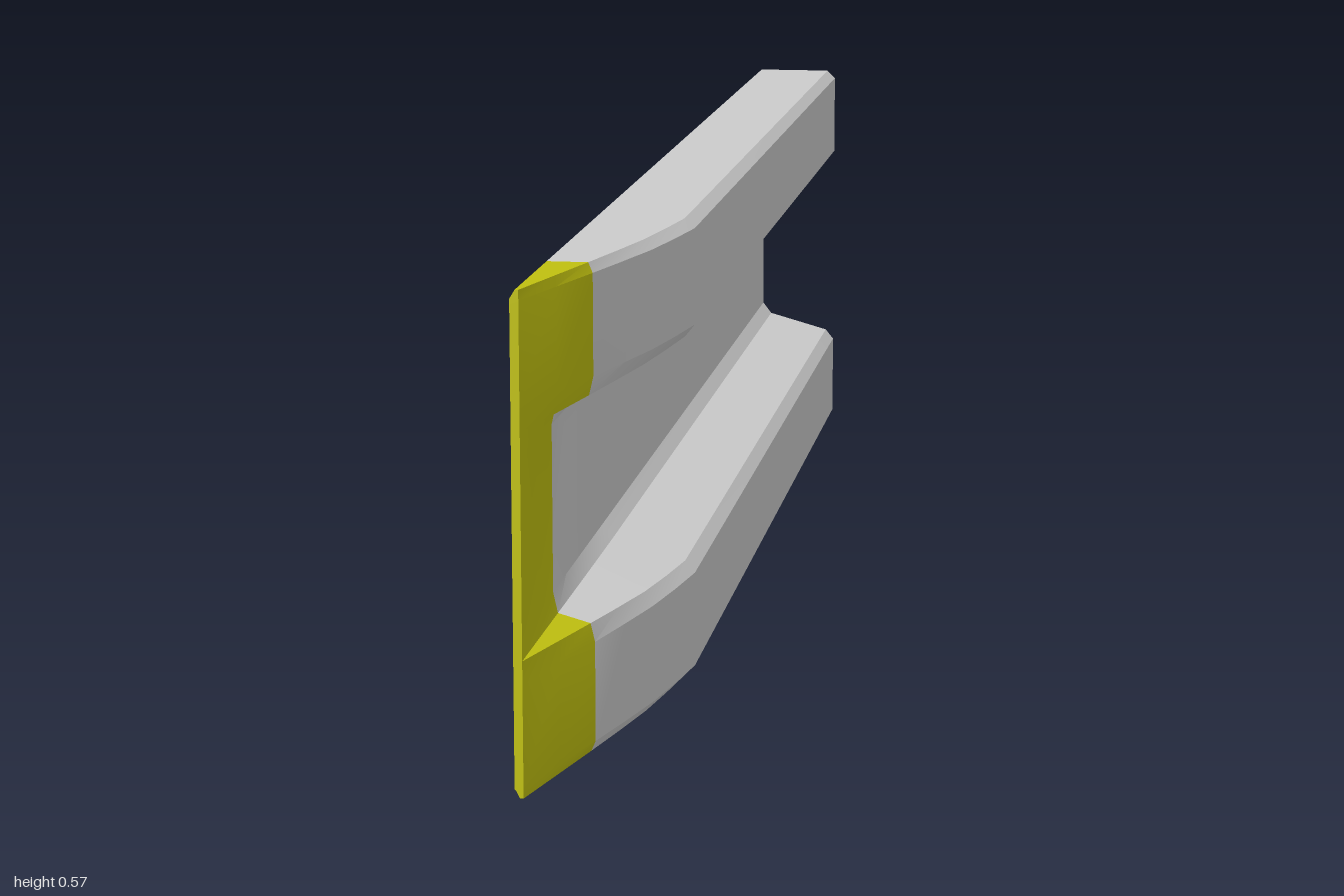
import * as THREE from 'three';
import { toCreasedNormals } from 'three/addons/utils/BufferGeometryUtils.js';

const H = 0.57;          // full height
const FRONT = -0.053;    // web front plane
const BACK = -0.063;     // web back plane

// Upper half of the profile, from the flange edge round the rib to the web.
const OUTER = [[-0.057, 0.57], [0.05, 0.57], [0.062, 0.558], [0.062, 0.44], [0.05, 0.425], [-0.04, 0.4], [FRONT, 0.383]];
const INNER = [[BACK, 0.558], [0.046, 0.56], [0.052, 0.554], [0.052, 0.443], [0.045, 0.434], [-0.046, 0.41], [BACK, 0.387]];

// Rib depth along the rail: [z, share of full depth]
const BODY = [[-1, 1], [0.5, 1], [0.58, 0.895], [0.66, 0.77], [0.74, 0.6], [0.82, 0.42]];
const TIP = [[0.82, 0.42], [0.91, 0.21], [1, 0]];

// One side of the cross-section, ribs flattened toward the base plane
function side(half, base, [z, s]) {
  const top = half.map(([x, y], i) => {
    const px = i === 0 ? x : base + (x - base) * s;
    const py = i === 4 || i === 5 ? THREE.MathUtils.lerp(0.413, y, s) : y;
    return [px, py, z];
  });
  const bottom = top.map(([x, y]) => [x, H - y, z]).reverse();
  return [...top, ...bottom];
}

// Loft a strip of sheet metal through the stations
function loft(stations, capBack, capFront) {
  const pos = [];
  const quad = (a, b, c, d) => pos.push(...a, ...b, ...c, ...a, ...c, ...d);
  const rings = stations.map((st) => {
    const o = side(OUTER, FRONT, st);
    const i = side(INNER, BACK, st);
    return { o, i, loop: [...o, ...i.slice().reverse()] };
  });
  for (let k = 0; k < rings.length - 1; k++) {
    const p = rings[k].loop, q = rings[k + 1].loop;
    for (let j = 0; j < p.length; j++) {
      const n = (j + 1) % p.length;
      quad(p[j], q[j], q[n], p[n]);
    }
  }
  const cap = ({ o, i }, front) => {
    for (let j = 0; j < o.length - 1; j++) {
      if (front) quad(o[j], i[j], i[j + 1], o[j + 1]);
      else quad(o[j], o[j + 1], i[j + 1], i[j]);
    }
  };
  if (capBack) cap(rings[0], false);
  if (capFront) cap(rings[rings.length - 1], true);
  const g = new THREE.BufferGeometry();
  g.setAttribute('position', new THREE.Float32BufferAttribute(pos, 3));
  return toCreasedNormals(g, 0.3);
}

// Return lip with a rounded front corner, drawn in (-z, y) and extruded along x
function lipGeometry() {
  const s = new THREE.Shape();
  s.moveTo(1, 0.559);
  s.lineTo(-0.8, 0.559);
  s.lineTo(-0.8, 0.545);
  s.quadraticCurveTo(-0.79, 0.515, -0.75, 0.515);
  s.lineTo(1, 0.515);
  s.closePath();
  const g = new THREE.ExtrudeGeometry(s, { depth: FRONT - BACK, bevelEnabled: false, curveSegments: 6 });
  g.rotateY(Math.PI / 2); // shape x -> -z, extrusion -> +x
  g.translate(BACK, 0, 0);
  return g;
}

export function createModel() {
  const grey = new THREE.MeshStandardMaterial({ color: 0xcccccc, side: THREE.DoubleSide });
  const yellow = new THREE.MeshStandardMaterial({ color: 0xc0c010, side: THREE.DoubleSide });
  const model = new THREE.Group();
  model.name = 'guardRail';
  const add = (name, geometry, material) => {
    const m = new THREE.Mesh(geometry, material);
    m.name = name;
    model.add(m);
    return m;
  };

  add('railBody', loft(BODY, true, false), grey);
  add('flattenedTip', loft(TIP, false, true), yellow);

  // Lips on the open back, mirrored about mid-height
  const lip = lipGeometry();
  add('upperLip', lip, grey);
  const lower = add('lowerLip', lip.clone().rotateX(0), grey);
  lower.scale.y = -1;
  lower.position.y = H;

  return model;
}
